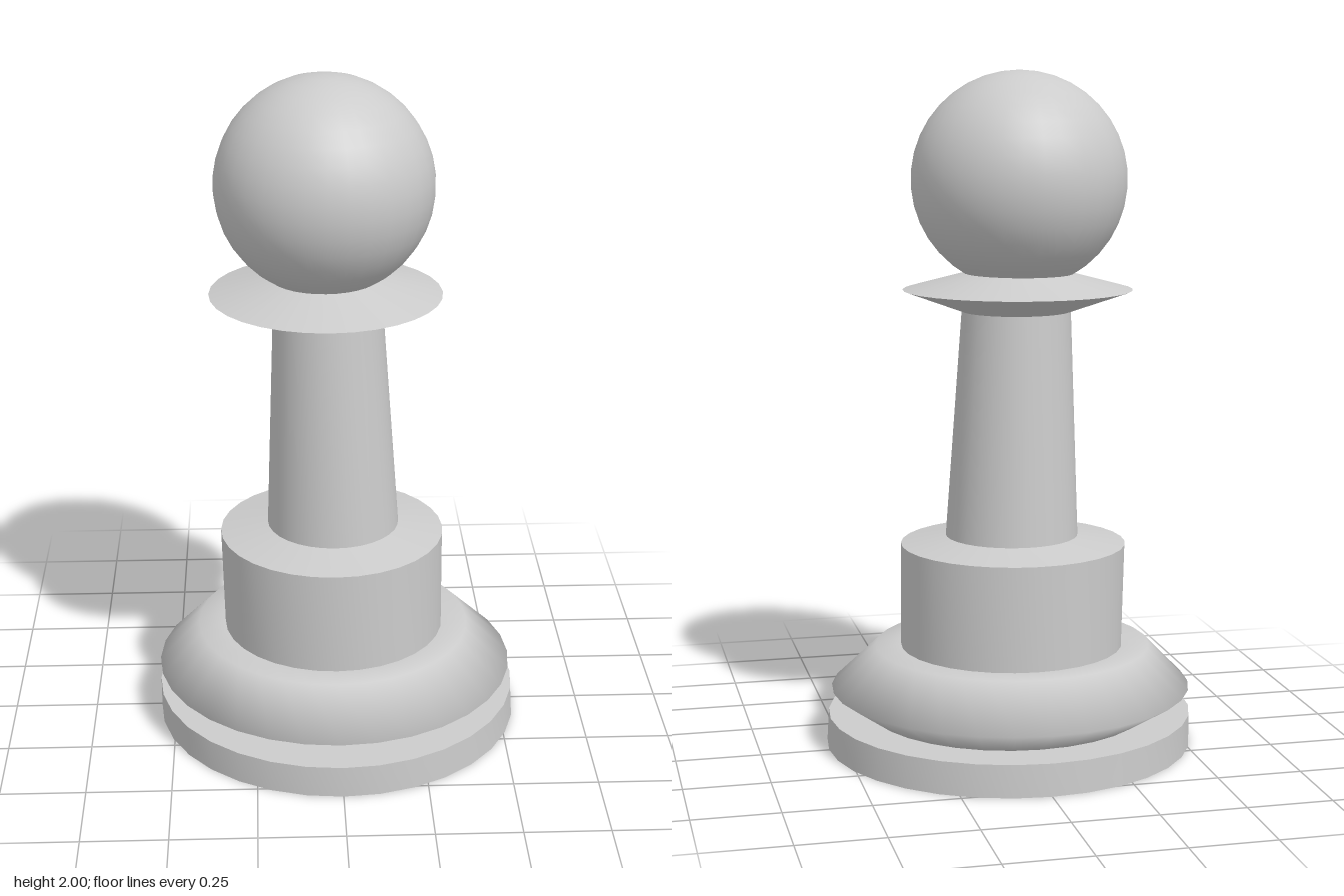
import * as THREE from 'three';
import { toCreasedNormals } from 'three/addons/utils/BufferGeometryUtils.js';

const SIDES = 32;
const material = new THREE.MeshStandardMaterial({ color: 0xcccccc, side: THREE.DoubleSide });

// Turned part from rings [radius, y, centreX, centreZ], listed bottom to top;
// each ring has its own centre because the piece leans slightly.
function turned(name, rings, crease) {
  const geometry = new THREE.LatheGeometry(rings.map(([r, y]) => new THREE.Vector2(r, y)), SIDES);
  const pos = geometry.attributes.position;
  for (let i = 0; i < pos.count; i++) {
    const [, , cx, cz] = rings[i % rings.length];
    pos.setX(i, pos.getX(i) + cx);
    pos.setZ(i, pos.getZ(i) + cz);
  }
  const mesh = new THREE.Mesh(toCreasedNormals(geometry, crease), material);
  mesh.name = name;
  return mesh;
}

export function createModel() {
  const group = new THREE.Group();
  group.name = 'pawn';
  const sharp = Math.PI / 5;

  // Flat foot disc
  group.add(turned('foot', [
    [0, 0, 0, 0], [0.547, 0, 0, 0.002], [0.544, 0.095, -0.003, 0.003], [0.42, 0.095, 0, 0.003],
  ], sharp));

  // Flared ring, softly shaded over its rim
  group.add(turned('baseRing', [
    [0.42, 0.095, 0, 0.003], [0.538, 0.17, -0.008, 0.008],
    [0.411, 0.295, -0.013, 0.006], [0.332, 0.295, -0.011, 0.006],
  ], Math.PI));

  // Drum with a shallow sloped shoulder
  group.add(turned('drum', [
    [0.332, 0.295, -0.011, 0.006], [0.335, 0.605, -0.016, 0.006], [0.197, 0.63, -0.012, 0.005],
  ], sharp));

  // Tapered stem
  group.add(turned('stem', [
    [0.197, 0.63, -0.012, 0.005], [0.161, 1.3, -0.026, 0.006],
  ], sharp));

  // Thin sharp collar
  group.add(turned('collar', [
    [0.161, 1.3, -0.026, 0.006], [0.339, 1.362, -0.033, 0.018], [0.155, 1.412, -0.03, 0.01],
  ], sharp));

  // Ball head, cut off where it meets the collar
  const radius = 0.317, centreY = 1.683, steps = 16;
  const start = -Math.acos(0.155 / radius);
  const ball = [];
  for (let i = 0; i <= steps; i++) {
    const a = start + (Math.PI / 2 - start) * i / steps;
    const r = i === steps ? 0 : radius * Math.cos(a);
    ball.push([r, centreY + radius * Math.sin(a), -0.036, 0.01]);
  }
  group.add(turned('head', ball, Math.PI));

  return group;
}
